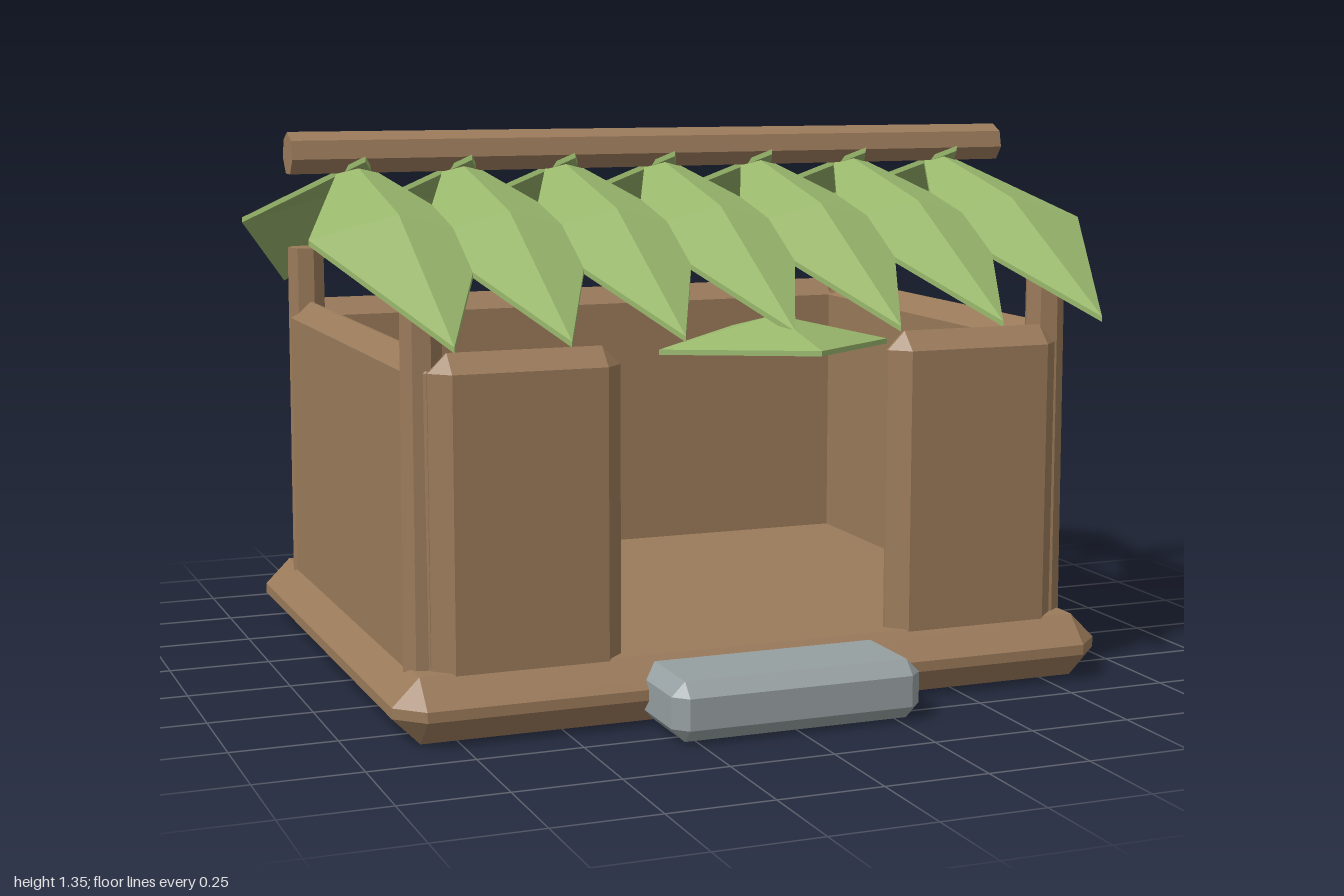
import * as THREE from 'three';
import { ConvexGeometry } from 'three/addons/geometries/ConvexGeometry.js';

const material = (name, color) => {
  const m = new THREE.MeshStandardMaterial({ color });
  m.name = name;
  return m;
};

// Box with every edge bevelled by c, given as [min, max] ranges
function bevelBox(x, y, z, c) {
  const mid = [x, y, z].map(r => (r[0] + r[1]) / 2);
  const half = [x, y, z].map(r => (r[1] - r[0]) / 2);
  const points = [];
  for (let axis = 0; axis < 3; axis++)
    for (const sx of [-1, 1]) for (const sy of [-1, 1]) for (const sz of [-1, 1]) {
      const p = [sx, sy, sz].map((s, i) => mid[i] + s * (half[i] - (i === axis ? 0 : c)));
      points.push(new THREE.Vector3(...p));
    }
  return new ConvexGeometry(points);
}

// Folded diamond leaf shell; points are [y, z], lying in the plane x = 0 except the side corners
function leafGeometry(root, tip, side, crown, halfWidth, thickness) {
  const top = [[0, ...root], [halfWidth, ...side], [0, ...tip], [-halfWidth, ...side], [0, ...crown]];
  const under = top.map(([x, y, z]) => [x, y - thickness, z]);
  const out = [];
  for (let i = 0; i < 4; i++) {
    const j = (i + 1) % 4;
    out.push(top[i], top[4], top[j]);
    out.push(under[i], under[j], under[4]);
    out.push(top[i], top[j], under[j], top[i], under[j], under[i]);
  }
  const g = new THREE.BufferGeometry();
  g.setAttribute('position', new THREE.Float32BufferAttribute(out.flat(), 3));
  g.computeVertexNormals();
  return g;
}

// Upright seven-sided log with flat faces and one edge towards -x
function logGeometry(rTop, rBottom, length) {
  const g = new THREE.CylinderGeometry(rTop, rBottom, length, 7).toNonIndexed();
  g.rotateY(-Math.PI / 2);
  g.computeVertexNormals();
  return g;
}

export function createModel() {
  const hut = new THREE.Group();
  hut.name = 'leafRoofHut';
  const wood = material('wood', 0x9a7a5a);
  const leaf = material('leafGreen', 0x99b76c);
  const stone = material('stone', 0x969fa1);

  const add = (name, geometry, mat, x = 0, y = 0, z = 0) => {
    const mesh = new THREE.Mesh(geometry, mat);
    mesh.name = name;
    mesh.position.set(x, y, z);
    hut.add(mesh);
    return mesh;
  };

  // Floor slab and doorstep
  add('floor', bevelBox([-0.9, 0.9], [0, 0.155], [-0.81, 0.66], 0.065), wood);
  add('doorstep', bevelBox([-0.31, 0.31], [0.002, 0.142], [0.55, 0.833], 0.033), stone);

  // Walls, with a doorway between the two front panels
  const wallY = [0.1, 0.877], bevel = 0.044;
  add('backWall', bevelBox([-0.795, 0.795], wallY, [-0.74, -0.645], bevel), wood);
  add('leftFrontWall', bevelBox([0.34, 0.795], wallY, [0.505, 0.6], bevel), wood);
  add('rightFrontWall', bevelBox([-0.795, -0.34], wallY, [0.505, 0.6], bevel), wood);
  add('leftWall', bevelBox([0.745, 0.84], wallY, [-0.693, 0.55], bevel), wood);
  add('rightWall', bevelBox([-0.84, -0.745], wallY, [-0.693, 0.55], bevel), wood);

  // Corner posts
  const post = logGeometry(0.048, 0.052, 0.92);
  for (const x of [-0.795, 0.795])
    for (const z of [0.5, -0.635]) add('cornerPost', post, wood, x, 0.56, z);

  // Ridge log
  const ridgeZ = -0.07;
  const ridge = add('ridgeLog', logGeometry(0.049, 0.053, 1.918), wood, -0.002, 1.294, ridgeZ);
  ridge.rotation.z = -Math.PI / 2;

  // Roof leaves, crossing under the ridge log
  const roofLeaf = leafGeometry([1.29, -0.102], [0.918, 0.842], [1.117, 0.378], [1.172, 0.4], 0.205, 0.013);
  for (let i = -3; i <= 3; i++) {
    add('frontRoofLeaf', roofLeaf, leaf, i * 0.265, 0, ridgeZ);
    add('backRoofLeaf', roofLeaf, leaf, i * 0.265, 0, ridgeZ).rotation.y = Math.PI;
  }

  // Awning leaf above the doorway
  add('awningLeaf', leafGeometry([0.892, 0.41], [0.89, 0.915], [0.876, 0.66], [0.943, 0.66], 0.285, 0.012), leaf);

  return hut;
}
